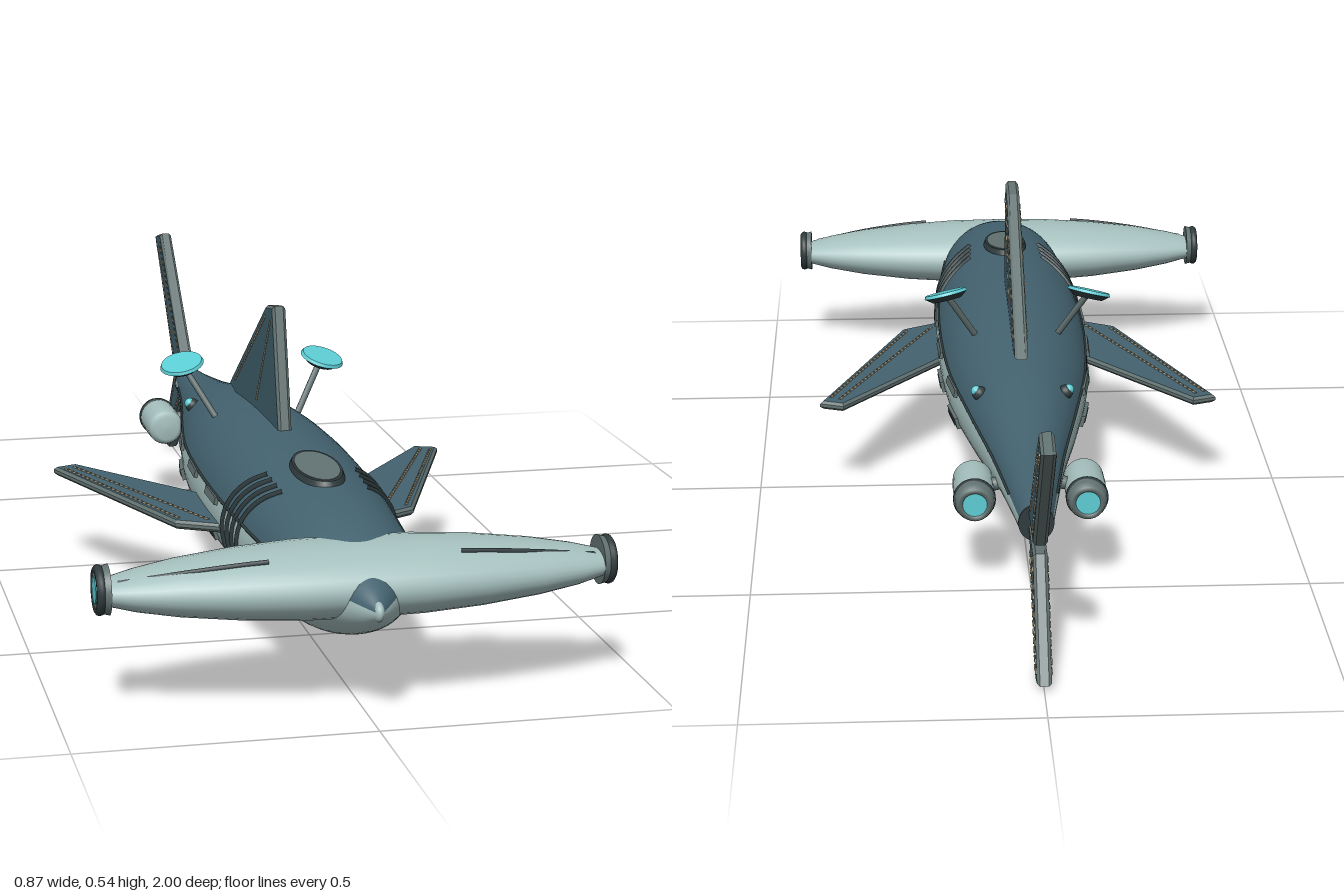
import * as THREE from 'three';

const mat = (name, color) => {
  const m = new THREE.MeshStandardMaterial({ color });
  m.name = name;
  return m;
};
const V = (x, y, z) => new THREE.Vector3(x, y, z);

// Skin a list of rings (each a list of Vector3)
function loft(rings, closed) {
  const n = rings[0].length, idx = [];
  for (let i = 0; i < rings.length - 1; i++)
    for (let j = 0; j < (closed ? n : n - 1); j++) {
      const a = i * n + j, b = i * n + (j + 1) % n, c = a + n, d = b + n;
      idx.push(a, c, b, b, c, d);
    }
  const g = new THREE.BufferGeometry().setFromPoints(rings.flat());
  g.setIndex(idx);
  g.computeVertexNormals();
  return g;
}

// Hull profile: half width, half height, z
const hullCurve = new THREE.CatmullRomCurve3([
  V(0.006, 0.008, 0.995), V(0.036, 0.035, 0.955), V(0.07, 0.061, 0.9), V(0.113, 0.095, 0.8),
  V(0.136, 0.117, 0.62), V(0.148, 0.127, 0.4), V(0.148, 0.128, 0.2), V(0.135, 0.119, 0),
  V(0.103, 0.098, -0.2), V(0.066, 0.064, -0.4), V(0.04, 0.04, -0.58), V(0.03, 0.033, -0.655)]);
const hull = hullCurve.getPoints(66);
const CY = 0.197, SPLIT = 0.28;
const hullPoint = (p, a) => V(Math.cos(a) * p.x, CY + Math.sin(a) * p.y, p.z);

// Point on the hull skin at a given z and angle
function skin(z, a) {
  let i = 0;
  while (i < hull.length - 2 && hull[i + 1].z > z) i++;
  const t = (z - hull[i].z) / (hull[i + 1].z - hull[i].z);
  return hullPoint(hull[i].clone().lerp(hull[i + 1], t), a);
}

export function createModel() {
  const root = new THREE.Group();
  root.name = 'sharkShip';
  const slate = mat('slate blue', 0x43626f);
  const pale = mat('pale grey green', 0xa5c0be);
  const dark = mat('dark trim', 0x2f3b3d);
  const cyan = mat('cyan glow', 0x5ccdd4);
  const grey = mat('mid grey', 0x627271);
  const bronze = mat('bronze rivets', 0x94876c);

  const add = (name, geo, m, parent = root) => {
    const mesh = new THREE.Mesh(geo, m);
    mesh.name = name;
    parent.add(mesh);
    return mesh;
  };
  const rod = (name, a, b, r, m) => {
    const d = b.clone().sub(a);
    const mesh = add(name, new THREE.CylinderGeometry(r, r, d.length(), 10), m);
    mesh.position.copy(a).addScaledVector(d, 0.5);
    mesh.quaternion.setFromUnitVectors(V(0, 1, 0), d.normalize());
  };
  // Row of short dashes between two points
  const dashes = (name, a, b) => {
    const n = Math.round(a.distanceTo(b) / 0.016);
    for (let i = 0; i < n; i++)
      rod(name, a.clone().lerp(b, i / n), a.clone().lerp(b, (i + 0.65) / n), 0.0032, bronze);
  };
  const tube = (name, pts, r, m) =>
    add(name, new THREE.TubeGeometry(new THREE.CatmullRomCurve3(pts), 28, r, 8), m);

  // Hull: dark back and pale belly
  const arc = (a0, a1, n) => hull.map(p =>
    Array.from({ length: n + 1 }, (_, j) => hullPoint(p, a0 + (a1 - a0) * j / n)));
  add('hullBack', loft(arc(SPLIT, Math.PI - SPLIT, 24)), slate);
  add('hullBelly', loft(arc(Math.PI - SPLIT, Math.PI * 2 + SPLIT, 32)), pale);
  const tip = add('noseTip', new THREE.SphereGeometry(1, 20, 14), pale);
  tip.position.set(0, CY, 0.98);
  tip.scale.set(0.01, 0.017, 0.02);
  const cap = add('tailCap', new THREE.CylinderGeometry(0.031, 0.031, 0.006, 28), dark);
  cap.rotation.x = Math.PI / 2;
  cap.scale.z = 1.08;
  cap.position.set(0, CY, -0.654);

  // Hammer head: half height, front z and back z along x
  const half = [[0, 0.063, 0.95, 0.725], [0.1, 0.062, 0.947, 0.73], [0.2, 0.056, 0.936, 0.742],
    [0.3, 0.045, 0.918, 0.763], [0.37, 0.033, 0.9, 0.784], [0.415, 0.022, 0.882, 0.802]];
  const headRows = [...half.slice(1).reverse().map(([x, ...r]) => [-x, ...r]), ...half];
  const headRings = headRows.map(([x, h, f, b]) => Array.from({ length: 32 }, (_, j) => {
    const a = j / 32 * Math.PI * 2;
    return V(x, 0.214 + Math.sin(a) * h, (f + b) / 2 + Math.cos(a) * (f - b) / 2);
  }));
  add('hammerHead', loft(headRings, true), pale);

  // Flat fins cut from an outline, with bevelled grey edges
  const finGeo = (pts, depth) => new THREE.ExtrudeGeometry(
    new THREE.Shape(pts.map(p => new THREE.Vector2(...p))),
    { depth, bevelEnabled: true, bevelThickness: 0.005, bevelSize: 0.005, bevelOffset: -0.005, bevelSegments: 1 })
    .translate(0, 0, -depth / 2);
  const uprightFin = (name, pts) => add(name, finGeo(pts, 0.015).rotateY(-Math.PI / 2), [slate, grey]);
  uprightFin('dorsalFin', [[0.3, 0.31], [0.24, 0.545], [0.18, 0.535], [-0.155, 0.313], [0, 0.29]]);
  uprightFin('upperTailFin', [[-0.645, 0.21], [-0.935, 0.473], [-0.998, 0.458], [-0.775, 0.207]]);
  uprightFin('lowerTailFin', [[-0.645, 0.195], [-0.865, 0.002], [-0.912, 0.014], [-0.775, 0.192]]);
  // Rivet lines on both faces of the upright fins: z, y to z, y
  const seams = [[0.18, 0.515, -0.1, 0.33], [0.225, 0.515, 0.1, 0.335],
    [-0.7, 0.24, -0.94, 0.455], [-0.765, 0.225, -0.975, 0.452], [-0.7, 0.165, -0.87, 0.018], [-0.76, 0.18, -0.895, 0.022]];
  for (const [z0, y0, z1, y1] of seams)
    for (const s of [1, -1])
      dashes('finRivet', V(s * 0.0115, y0, z0), V(s * 0.0115, y1, z1));

  // Top hatch
  const hatch = new THREE.Group();
  hatch.name = 'topHatch';
  hatch.position.set(0, 0.321, 0.55);
  hatch.rotation.x = 0.07;
  root.add(hatch);
  add('hatchRim', new THREE.CylinderGeometry(0.041, 0.045, 0.01, 36), dark, hatch).scale.z = 2.1;
  const lid = add('hatchLid', new THREE.CylinderGeometry(0.037, 0.037, 0.004, 36), grey, hatch);
  lid.scale.z = 2.1;
  lid.position.y = 0.004;

  for (const s of [1, -1]) {
    const side = a => (s > 0 ? a : Math.PI - a);

    // Pectoral fins
    const pec = [[0.11, 0.44], [0.22, 0.38], [0.38, -0.035], [0.335, -0.052], [0.11, 0.24]];
    add('pectoralFin', finGeo(pec.map(([x, z]) => [s * x, z]), 0.006).rotateX(Math.PI / 2).translate(0, 0.184, 0), [slate, grey]);
    for (const y of [0.191, 0.177])
      for (const [x0, z0, x1, z1] of [[0.16, 0.385, 0.345, -0.03], [0.21, 0.365, 0.362, -0.02]])
        dashes('pectoralRivet', V(s * x0, y, z0), V(s * x1, y, z1));

    // Eye pods at the head ends
    const pod = new THREE.Group();
    pod.name = 'eyePod';
    pod.position.set(s * 0.424, 0.218, 0.842);
    pod.rotation.z = -s * Math.PI / 2;
    root.add(pod);
    add('eyeHousing', new THREE.CylinderGeometry(0.036, 0.042, 0.022, 32), grey, pod);
    const eyeRing = add('eyeRing', new THREE.TorusGeometry(0.034, 0.008, 10, 32), dark, pod);
    eyeRing.rotation.x = Math.PI / 2;
    eyeRing.position.y = 0.005;
    add('eyeLens', new THREE.CylinderGeometry(0.022, 0.022, 0.004, 28), cyan, pod).position.y = 0.0105;

    // Slot along the leading edge of the head
    tube('headSlot', [V(s * 0.16, 0.263, 0.894), V(s * 0.22, 0.258, 0.89), V(s * 0.3, 0.2485, 0.881), V(s * 0.4, 0.233, 0.862)], 0.005, dark);

    // Gill ribs
    for (let i = 0; i < 4; i++) {
      const pts = [];
      for (let k = -4; k <= 4; k++) {
        const t = k / 4;
        pts.push(skin(0.55 - i * 0.034 + 0.055 * t * t, side(t * 1.02)));
      }
      tube('gillRib', pts, 0.0058, dark);
    }

    // Side seam between back and belly
    const line = [];
    for (let z = 0.72; z > -0.62; z -= 0.08) line.push(skin(z, side(SPLIT)));
    tube('sideSeam', line, 0.003, dark);

    // Vents and side plates
    const plate = (name, z, a, w, h, l, m) => {
      const b = add(name, new THREE.BoxGeometry(w, h, l), m);
      b.position.copy(skin(z, side(a)));
      const slope = (skin(z + 0.03, 0).x - skin(z - 0.03, 0).x) / 0.06;
      b.rotation.set(0, s * Math.atan(slope), s * a);
    };
    for (const z of [0.34, 0.15, -0.06]) {
      plate('ventFrame', z, -0.27, 0.012, 0.022, 0.078, grey);
      plate('ventSlot', z, -0.27, 0.016, 0.009, 0.062, dark);
      plate('sidePlate', z + 0.01, 0.23, 0.012, 0.014, 0.085, grey);
    }

    // Marker light on the rear back
    const spot = skin(-0.19, side(0.7));
    add('markerBase', new THREE.SphereGeometry(0.014, 16, 12), dark).position.copy(spot);
    add('markerLight', new THREE.SphereGeometry(0.01, 16, 12), cyan).position.copy(spot).add(V(s * 0.006, 0.005, 0));

    // Dish antenna
    rod('dishPost', V(s * 0.08, 0.295, 0.045), V(s * 0.131, 0.382, 0.006), 0.006, grey);
    const dish = new THREE.Group();
    dish.name = 'dishAntenna';
    dish.position.set(s * 0.136, 0.388, 0.004);
    dish.quaternion.setFromUnitVectors(V(0, 1, 0), V(s * 0.24, 1, 0.27).normalize());
    root.add(dish);
    add('dishBack', new THREE.CylinderGeometry(0.041, 0.028, 0.01, 32), dark, dish).position.y = -0.003;
    add('dishFace', new THREE.CylinderGeometry(0.039, 0.042, 0.006, 32), cyan, dish).position.y = 0.005;

    // Engine pods
    const engine = new THREE.Group();
    engine.name = 'engine';
    engine.position.set(s * 0.1, 0.17, -0.37);
    engine.rotation.x = -Math.PI / 2;
    root.add(engine);
    const lathe = (name, pts, m) =>
      add(name, new THREE.LatheGeometry(pts.map(p => new THREE.Vector2(...p)), 28), m, engine);
    lathe('engineShell', [[0, 0], [0.024, 0.001], [0.032, 0.006], [0.036, 0.016], [0.037, 0.06], [0.036, 0.108]], pale);
    lathe('engineBand', [[0.036, 0.104], [0.038, 0.106], [0.038, 0.114], [0.036, 0.116]], dark);
    lathe('engineNozzle', [[0.036, 0.112], [0.035, 0.126], [0.03, 0.14], [0.022, 0.14], [0.02, 0.13]], grey);
    add('engineGlow', new THREE.CylinderGeometry(0.022, 0.022, 0.006, 24), cyan, engine).position.y = 0.135;
    rod('enginePylon', V(s * 0.03, 0.185, -0.43), V(s * 0.09, 0.172, -0.43), 0.012, grey);
  }
  return root;
}
